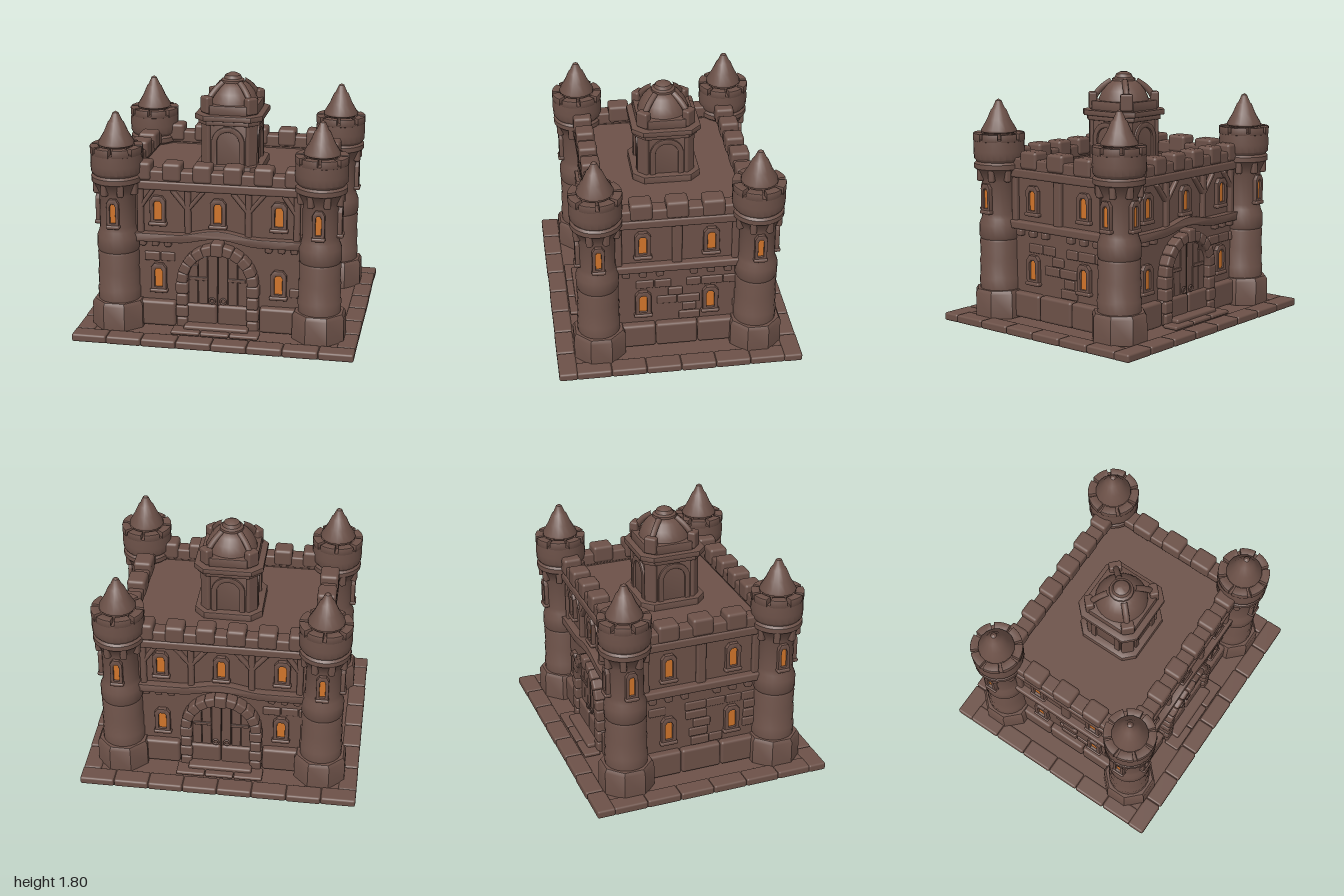
import * as THREE from 'three';
import { toCreasedNormals } from 'three/addons/utils/BufferGeometryUtils.js';
import { RoundedBoxGeometry } from 'three/addons/geometries/RoundedBoxGeometry.js';

const stone = new THREE.MeshStandardMaterial({ color: 0x6c5148 });
const glow = new THREE.MeshStandardMaterial({ color: 0xd0742a });
const crevice = new THREE.MeshStandardMaterial({ color: 0x32241f });
stone.name = 'brown stone'; glow.name = 'orange window light'; crevice.name = 'dark joint';

let seed = 7;
const rand = () => (seed = (seed * 16807) % 2147483647) / 2147483647;

function add(parent, name, geometry, x = 0, y = 0, z = 0, material = stone) {
  const m = new THREE.Mesh(geometry, material);
  m.name = name;
  m.position.set(x, y, z);
  parent.add(m);
  return m;
}
// Worn block: rounded box given by its centre
function block(parent, name, w, h, d, x, y, z, r = 0.014) {
  return add(parent, name, new RoundedBoxGeometry(w, h, d, 2, Math.min(r, w * 0.4, h * 0.4, d * 0.4)), x, y, z);
}
function group(parent, name, x = 0, y = 0, z = 0, ry = 0) {
  const g = new THREE.Group();
  g.name = name;
  g.position.set(x, y, z);
  g.rotation.y = ry;
  parent.add(g);
  return g;
}
const lathe = (pts, sides = 24) =>
  toCreasedNormals(new THREE.LatheGeometry(pts.map(p => new THREE.Vector2(p[0], p[1])), sides), 0.6);
const extrude = (shape, depth, bevel = 0) => toCreasedNormals(new THREE.ExtrudeGeometry(shape, {
  depth, curveSegments: 14, bevelEnabled: bevel > 0, bevelSize: bevel, bevelThickness: bevel, bevelSegments: 2 }), 0.6);

// Arch outline standing on y = 0: half width r, straight sides of height s
function archShape(r, s, Type = THREE.Shape) {
  const p = new Type();
  p.moveTo(-r, 0); p.lineTo(r, 0); p.lineTo(r, s);
  p.absarc(0, s, r, 0, Math.PI, false);
  p.lineTo(-r, 0);
  return p;
}
const polygon = (pts, Type = THREE.Shape) => new Type(pts.map(p => new THREE.Vector2(p[0], p[1])));

// Timber between two points on a wall
function beam(parent, x1, y1, x2, y2, w) {
  const b = block(parent, 'timber', w, Math.hypot(x2 - x1, y2 - y1), 0.04, (x1 + x2) / 2, (y1 + y2) / 2, 0.012);
  b.rotation.z = -Math.atan2(x2 - x1, y2 - y1);
}

// Peaked window, y is the bottom of the light, wall surface at z = 0
function makeWindow(parent, x, y, z = 0, ry = 0, k = 1) {
  const g = group(parent, 'window', x, y, z, ry);
  const peak = (w, b, t, p) => [[-w * k, b], [w * k, b], [w * k, t], [w * 0.55 * k, p], [-w * 0.55 * k, p], [-w * k, t]];
  const frame = polygon(peak(0.052, -0.015, 0.145, 0.175));
  frame.holes.push(polygon(peak(0.032, 0, 0.125, 0.146).reverse(), THREE.Path));
  add(g, 'windowFrame', extrude(frame, 0.026, 0.004));
  add(g, 'windowLight', extrude(polygon(peak(0.033, 0, 0.125, 0.147)), 0.006), 0, 0, 0.006, glow);
  block(g, 'windowSill', 0.13 * k, 0.028, 0.05, 0, -0.025, 0.015);
}

// Rows of slightly raised stones
function stonework(parent, half, skip) {
  for (let y = 0.28; y < 0.64; y += 0.072)
    for (let x = -half + rand() * 0.05; x < half;) {
      const w = 0.1 + rand() * 0.07;
      const c = x + w / 2;
      if (rand() > 0.3 && !skip(c, y, w / 2)) block(parent, 'wallStone', w - 0.006, 0.066, 0.03, c, y, -0.006 + rand() * 0.008, 0.01);
      x += w;
    }
}

// Parts common to every wall, facing +z with its surface at z = 0
function wallBase(g, half, count, pitch) {
  block(g, 'cornice', half * 2, 0.065, 0.11, 0, 1.103, 0);
  block(g, 'parapet', half * 2, 0.09, 0.11, 0, 1.165, -0.012);
  for (let i = 0; i < count; i++)
    block(g, 'merlon', pitch * 0.62, 0.13, 0.135, (i - (count - 1) / 2) * pitch, 1.195 + rand() * 0.008, -0.012, 0.022);
  for (let x = -half + 0.06; x < half; x += 0.3) {
    const w = (half * 2) / Math.ceil(half * 2 / 0.3) - 0.004;
    if (x + w / 2 < half) block(g, 'plinthStone', w, 0.185, 0.09, x - 0.06 + w / 2, 0.15, 0.01, 0.02);
  }
}

function makeDoor(g) {
  const surround = archShape(0.275, 0.345);
  surround.holes.push(archShape(0.215, 0.345, THREE.Path));
  add(g, 'archBacking', extrude(surround, 0.06), 0, 0.06, 0);
  // Stones of the arch
  for (let i = 0; i < 11; i++) {
    const a = (i + 0.5) / 11 * Math.PI;
    const v = block(g, 'archStone', 0.075, 0.077, 0.09, Math.cos(a) * 0.252, 0.405 + Math.sin(a) * 0.252, 0.035);
    v.rotation.z = a;
  }
  block(g, 'keystone', 0.085, 0.1, 0.1, 0, 0.665, 0.04);
  for (const s of [-1, 1]) {
    for (let i = 0; i < 4; i++) block(g, 'jambStone', 0.08 + (i % 2) * 0.01, 0.086, 0.09, s * 0.252, 0.1 + i * 0.088, 0.035);
    // Planks, hinges and ring handle of one leaf
    for (let i = 0; i < 3; i++) {
      const x = 0.037 + i * 0.07, top = 0.405 + Math.sqrt(0.215 ** 2 - x ** 2);
      block(g, 'doorPlank', 0.067, top - 0.06, 0.03, s * x, (top + 0.06) / 2, 0.018, 0.006);
    }
    for (const y of [0.17, 0.43]) block(g, 'doorHinge', 0.13, 0.026, 0.014, s * 0.135, y, 0.036, 0.005);
    add(g, 'doorHandle', new THREE.TorusGeometry(0.02, 0.007, 8, 16), s * 0.04, 0.27, 0.042);
  }
  add(g, 'doorGap', new THREE.BoxGeometry(0.007, 0.53, 0.008), 0, 0.345, 0.031, crevice);
  block(g, 'doorStep', 0.46, 0.05, 0.13, 0, 0.08, 0.07);
  for (const x of [-0.21, 0, 0.21]) block(g, 'lowerStep', 0.205, 0.028, 0.12, x, 0.065, 0.125);
}

function makeFrontWall(parent, z, ry) {
  const g = group(parent, 'gateWall', 0, 0, z, ry);
  wallBase(g, 0.6, 6, 0.215);
  makeDoor(g);
  stonework(g, 0.58, (x, y, h) => Math.abs(x) - h < 0.28 || Math.abs(Math.abs(x) - 0.43) < h + 0.06 && y < 0.54);
  for (const x of [-0.43, 0, 0.43]) makeWindow(g, x, 0.84);
  for (const s of [-1, 1]) {
    makeWindow(g, s * 0.43, 0.34);
    for (const x of [0.215, 0.555]) beam(g, s * x, 0.74, s * x, 1.08, 0.045);
    beam(g, s * 0.215, 0.93, s * 0.1, 1.07, 0.03);
    beam(g, s * 0.215, 0.93, s * 0.33, 1.07, 0.03);
    beam(g, s * 0.555, 0.93, s * 0.46, 1.07, 0.03);
    for (const x of [0.36, 0.45, 0.54]) block(g, 'corbel', 0.05, 0.05, 0.06, s * x, 0.675, 0.01);
  }
  // Ledge bowed over the door
  const line = [];
  for (let i = 0; i <= 24; i++) {
    const x = -0.6 + i * 0.05;
    line.push([x, Math.abs(x) < 0.3 ? 0.022 * (1 + Math.cos(x / 0.3 * Math.PI)) : 0]);
  }
  add(g, 'bowedLedge', extrude(polygon([...line.map(p => [p[0], p[1] + 0.695]), ...line.reverse().map(p => [p[0], p[1] + 0.745])]), 0.07, 0.006), 0, 0, -0.02);
}

function makeSideWall(parent, x, ry) {
  const g = group(parent, 'sideWall', x, 0, 0, ry);
  wallBase(g, 0.45, 3, 0.25);
  stonework(g, 0.42, (c, y, h) => Math.abs(Math.abs(c) - 0.24) < h + 0.06 && y < 0.54);
  block(g, 'ledge', 0.9, 0.06, 0.08, 0, 0.73, 0.015);
  for (const s of [-1, 1]) {
    makeWindow(g, s * 0.24, 0.84);
    makeWindow(g, s * 0.24, 0.34);
    beam(g, s * 0.41, 0.75, s * 0.41, 1.08, 0.05);
    for (const c of [0.12, 0.24, 0.36]) block(g, 'corbel', 0.055, 0.05, 0.06, s * c, 0.675, 0.01);
  }
  beam(g, 0, 0.75, 0, 1.08, 0.07);
}

function makeTower(parent, sx, sz) {
  const g = group(parent, 'cornerTower', sx * 0.72, 0, sz * 0.56);
  add(g, 'towerFoot', lathe([[0, 0.05], [0.198, 0.05], [0.196, 0.225], [0.18, 0.25], [0, 0.25]], 8)).rotation.y = Math.PI / 8;
  add(g, 'towerShaft', lathe([[0.15, 0.24], [0.154, 0.33], [0.147, 0.345], [0.15, 0.46], [0.144, 0.48], [0.148, 0.6], [0.143, 0.615],
    [0.15, 0.63], [0.15, 0.72], [0.133, 0.765], [0.128, 0.8], [0.128, 1.03], [0.14, 1.06], [0.165, 1.115], [0.18, 1.125],
    [0.18, 1.16], [0.165, 1.175], [0.18, 1.195], [0.184, 1.25], [0.18, 1.335], [0, 1.335]]));
  const merlon = new THREE.Shape();
  merlon.absarc(0, 0, 0.18, 0, 0.6, false);
  merlon.absarc(0, 0, 0.128, 0.6, 0, true);
  const merlonGeo = extrude(merlon, 0.048, 0.004).rotateX(-Math.PI / 2);
  for (let i = 0; i < 8; i++) {
    const a = i * Math.PI / 4;
    add(g, 'towerMerlon', merlonGeo, 0, 1.325, 0).rotation.y = a + 0.1;
    const c = block(g, 'towerCorbel', 0.045, 0.1, 0.05, Math.sin(a + 0.39) * 0.145, 1.085, Math.cos(a + 0.39) * 0.145);
    c.rotation.y = a + 0.39;
  }
  add(g, 'spire', lathe([[0.1, 1.32], [0.108, 1.375], [0.128, 1.385], [0.126, 1.4], [0.085, 1.47], [0.055, 1.54], [0.044, 1.55], [0.02, 1.605], [0, 1.617]], 16));
  // Windows on the two outward faces
  makeWindow(g, 0, 0.84, sz * 0.121, sz > 0 ? 0 : Math.PI, 0.75);
  makeWindow(g, sx * 0.121, 0.84, 0, sx * Math.PI / 2, 0.75);
}

// Square prism with cut corners
function cutSquare(h, c, y0, y1) {
  const pts = [[h, c - h], [h, h - c], [h - c, h], [c - h, h], [-h, h - c], [-h, c - h], [c - h, -h], [h - c, -h]];
  return extrude(polygon(pts), y1 - y0 - 0.012, 0.006).rotateX(-Math.PI / 2).translate(0, y0 + 0.006, 0);
}

function makeKeep(parent) {
  const g = group(parent, 'centralKeep');
  add(g, 'keepFoot', cutSquare(0.235, 0.07, 1.09, 1.16));
  add(g, 'keepBody', cutSquare(0.185, 0.06, 1.1, 1.5));
  add(g, 'keepBand', cutSquare(0.215, 0.065, 1.45, 1.485));
  add(g, 'keepLedge', cutSquare(0.238, 0.07, 1.485, 1.525));
  add(g, 'keepDrum', cutSquare(0.195, 0.065, 1.52, 1.59));
  add(g, 'dome', lathe([[0.186, 1.57], [0.178, 1.61], [0.155, 1.66], [0.12, 1.705], [0.085, 1.73], [0, 1.745]]));
  add(g, 'finial', lathe([[0.075, 1.71], [0.086, 1.725], [0.084, 1.745], [0.066, 1.755], [0.055, 1.778], [0.025, 1.794], [0, 1.796]], 16));
  const rib = new THREE.CatmullRomCurve3([[0.225, 1.58], [0.2, 1.635], [0.155, 1.685], [0.09, 1.73]].map(p => new THREE.Vector3(0, p[1], p[0])));
  const arch = archShape(0.115, 0.19);
  arch.holes.push(archShape(0.085, 0.19, THREE.Path));
  for (let i = 0; i < 4; i++) {
    const f = group(g, 'keepFace', 0, 0, 0, i * Math.PI / 2);
    add(f, 'keepArch', extrude(arch, 0.02, 0.004), 0, 1.13, 0.183);
    const corner = group(g, 'keepCorner', 0, 0, 0, (i + 0.5) * Math.PI / 2);
    block(corner, 'keepPillar', 0.09, 0.34, 0.05, 0, 1.31, 0.225);
    block(corner, 'cornerBlock', 0.09, 0.12, 0.06, 0, 1.59, 0.225);
    add(corner, 'domeRib', new THREE.TubeGeometry(rib, 10, 0.022, 8));
  }
}

export function createModel() {
  const model = new THREE.Group();
  model.name = 'castle';
  // Paved slab with border stones
  add(model, 'slab', new THREE.BoxGeometry(1.96, 0.046, 1.7), 0, 0.023, 0);
  for (const s of [-1, 1]) {
    for (let i = 0; i < 8; i++) block(model, 'borderStone', 0.247, 0.058, 0.13, -0.875 + i * 0.25, 0.029, s * (0.8 + rand() * 0.005), 0.015);
    for (let i = 0; i < 6; i++) block(model, 'borderStone', 0.13, 0.058, 0.245, s * (0.93 + rand() * 0.005), 0.029, -0.62 + i * 0.248, 0.015);
  }
  add(model, 'walls', new THREE.BoxGeometry(1.4, 1.07, 1.1), 0, 0.575, 0);
  makeFrontWall(model, 0.55, 0);
  makeFrontWall(model, -0.55, Math.PI);
  for (const s of [-1, 1]) {
    makeSideWall(model, s * 0.7, s * Math.PI / 2);
    for (const t of [-1, 1]) makeTower(model, s, t);
  }
  makeKeep(model);
  return model;
}
